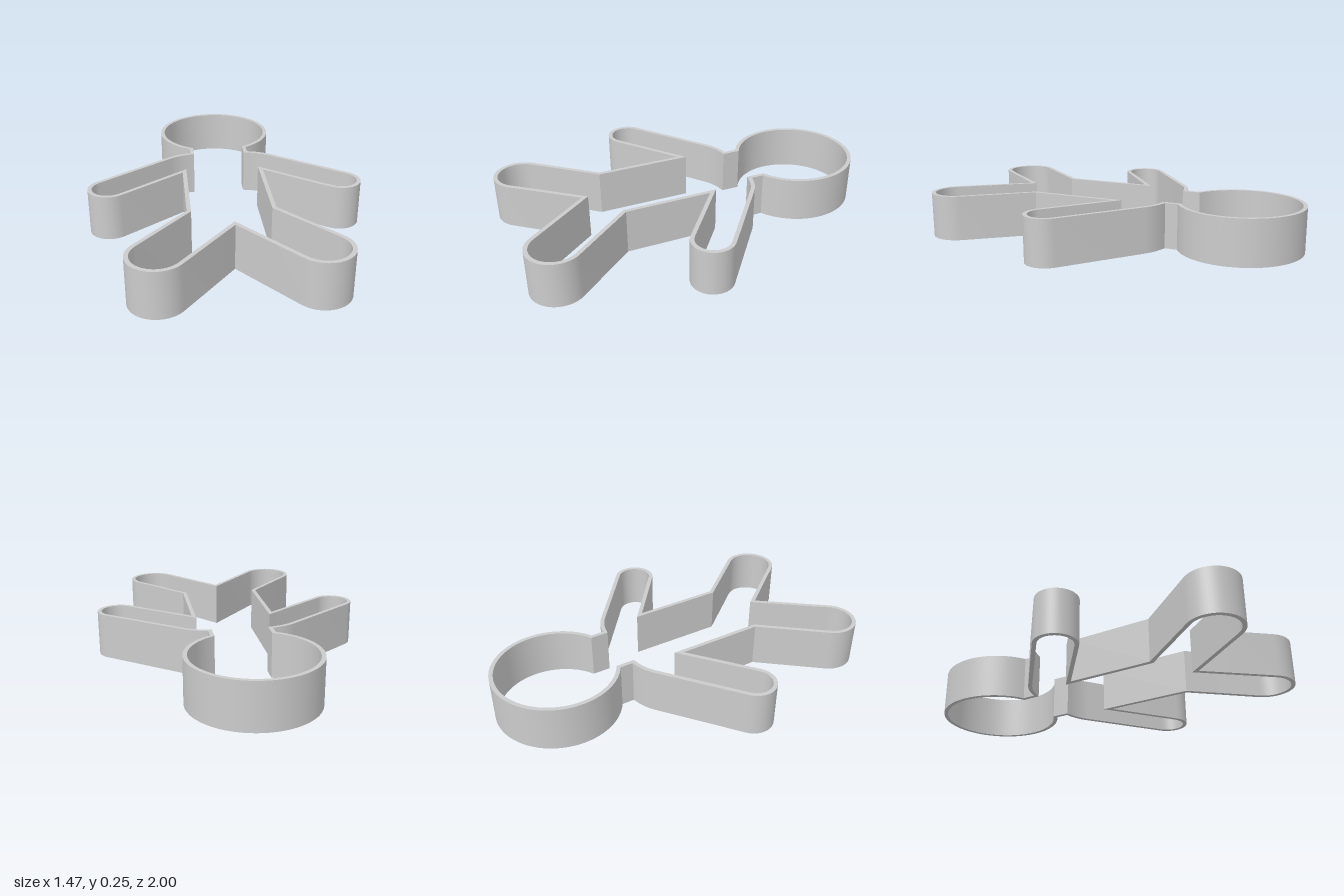
import * as THREE from 'three';
import { toCreasedNormals } from 'three/addons/utils/BufferGeometryUtils.js';

const HEIGHT = 0.245;
const WALL = 0.022;

// Points of a circular arc; angles run clockwise from the top.
function arc(cx, cy, r, from, to, n) {
  return Array.from({ length: n + 1 }, (_, i) => {
    const a = from + ((to - from) * i) / n;
    return new THREE.Vector2(cx + r * Math.sin(a), cy + r * Math.cos(a));
  });
}

// Half of the gingerbread outline, from the crown down to the crotch (y points to the head).
function halfOutline() {
  const v = (x, y) => new THREE.Vector2(x, y);
  const armTurn = 0.661; // clockwise angle of the upper arm's outward normal
  const legTurn = 0.87;
  const shoulder = new THREE.QuadraticBezierCurve(v(0.17, 0.305), v(0.25, 0.29), v(0.303, 0.247));
  return [
    ...arc(0, 0.664, 0.336, 0, Math.PI - Math.asin(0.17 / 0.336), 40), // head
    ...shoulder.getPoints(10), // neck to shoulder
    ...arc(0.622, -0.144, 0.113, armTurn, armTurn + Math.PI, 24), // hand
    v(0.225, 0.025), // armpit
    v(0.225, -0.445), // hip
    ...arc(0.378, -0.855, 0.145, legTurn, legTurn + Math.PI + 0.02, 24), // foot
    v(0, -0.613), // crotch
  ];
}

// Mitred inward offset of a closed clockwise outline.
function inset(points, d) {
  const n = points.length;
  const normal = (a, b) => new THREE.Vector2(b.y - a.y, a.x - b.x).normalize();
  return points.map((p, i) => {
    const n1 = normal(points[(i + n - 1) % n], p);
    const n2 = normal(p, points[(i + 1) % n]);
    const m = n1.clone().add(n2);
    return p.clone().addScaledVector(m, d / (1 + n1.dot(n2)));
  });
}

// Closed band with a rectangular cross-section between two outlines.
function bandGeometry(outer, inner, height) {
  const positions = [];
  const indices = [];
  const n = outer.length;
  outer.forEach((o, i) => {
    const p = inner[i];
    positions.push(o.x, 0, -o.y, o.x, height, -o.y, p.x, height, -p.y, p.x, 0, -p.y);
    const a = i * 4;
    const b = ((i + 1) % n) * 4;
    for (let k = 0; k < 4; k++) {
      const l = (k + 1) % 4;
      indices.push(a + k, a + l, b + l, a + k, b + l, b + k);
    }
  });
  const geometry = new THREE.BufferGeometry();
  geometry.setAttribute('position', new THREE.Float32BufferAttribute(positions, 3));
  geometry.setIndex(indices);
  return toCreasedNormals(geometry, 0.4);
}

export function createModel() {
  const group = new THREE.Group();
  group.name = 'cookieCutter';

  // Mirror the half outline, leaving out the two points on the centre line
  const half = halfOutline();
  const mirrored = half.slice(1, -1).reverse().map((p) => new THREE.Vector2(-p.x, p.y));
  const outer = [...half, ...mirrored];

  // Thin upright wall that follows the outline
  const wall = new THREE.Mesh(
    bandGeometry(outer, inset(outer, WALL), HEIGHT),
    new THREE.MeshStandardMaterial({ color: 0xcccccc })
  );
  wall.name = 'cutterWall';
  group.add(wall);
  return group;
}
